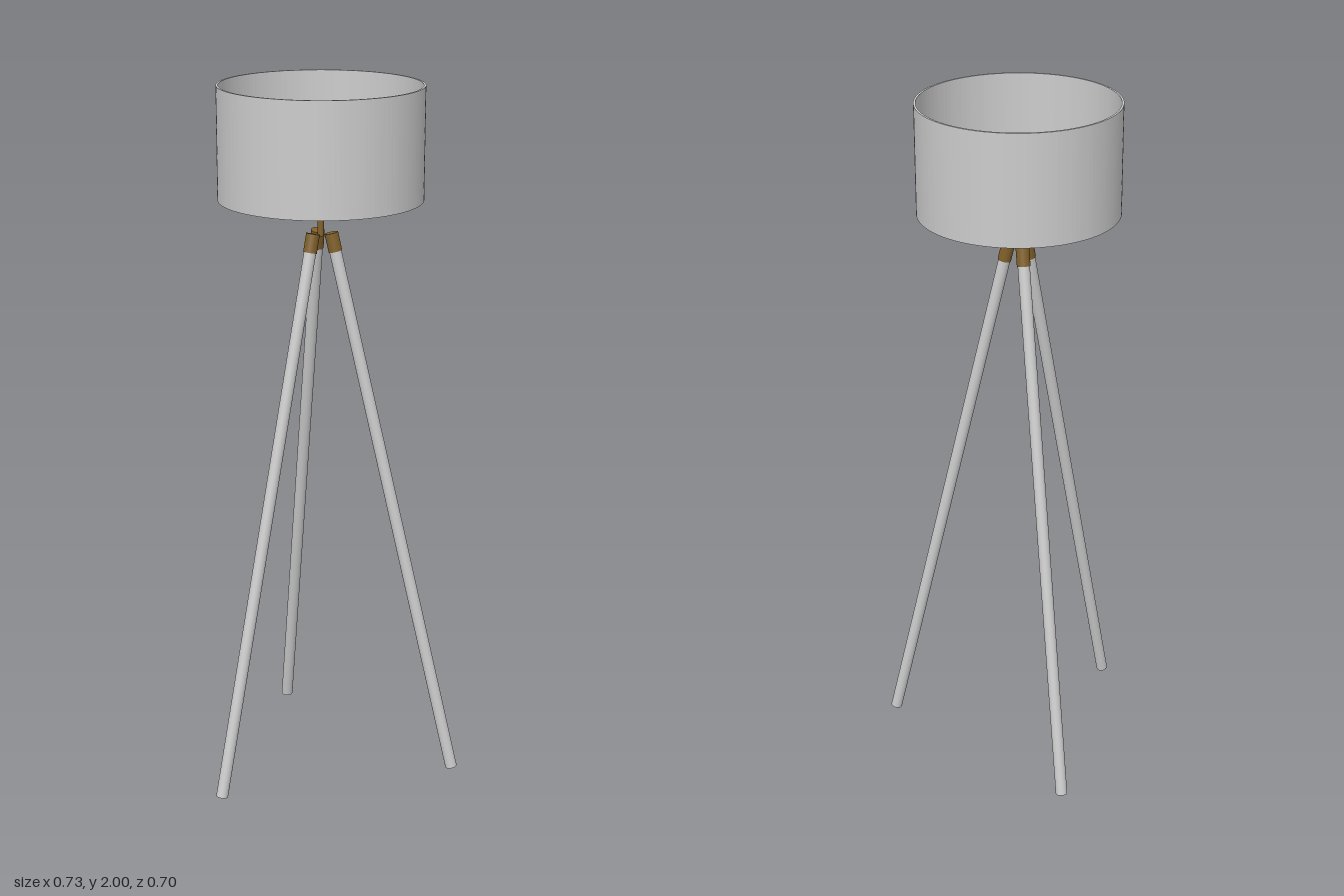
import * as THREE from 'three';

const AXIS_Z = 0.066; // the lamp's vertical axis sits ahead of the centre
const grey = new THREE.MeshStandardMaterial({ color: 0xcccccc });
const brass = new THREE.MeshStandardMaterial({ color: 0x80602a });

// Cylinder running between two points
function rod(name, a, b, radius, material, sides = 24) {
  const dir = b.clone().sub(a);
  const mesh = new THREE.Mesh(new THREE.CylinderGeometry(radius, radius, dir.length(), sides), material);
  mesh.position.copy(a).add(b).multiplyScalar(0.5);
  mesh.quaternion.setFromUnitVectors(new THREE.Vector3(0, 1, 0), dir.normalize());
  mesh.name = name;
  return mesh;
}

function lathe(name, points, material, sides = 32) {
  const mesh = new THREE.Mesh(
    new THREE.LatheGeometry(points.map(([x, y]) => new THREE.Vector2(x, y)), sides), material);
  mesh.name = name;
  return mesh;
}

export function createModel() {
  const lamp = new THREE.Group();
  lamp.name = 'tripodFloorLamp';
  lamp.position.z = AXIS_Z;

  // Drum shade: thin wall, open at both ends
  const wall = new THREE.Shape().absarc(0, 0, 0.283, 0, Math.PI * 2);
  wall.holes.push(new THREE.Path().absarc(0, 0, 0.277, 0, Math.PI * 2, true));
  const shade = new THREE.Mesh(
    new THREE.ExtrudeGeometry(wall, { depth: 0.312, bevelEnabled: false, curveSegments: 64 }), grey);
  shade.rotation.x = -Math.PI / 2;
  shade.position.y = 1.688;
  shade.name = 'shade';
  lamp.add(shade);

  // Three splayed legs with brass caps, and the shade's spokes above them
  const foot = new THREE.Vector3(0, 0.004, -0.401);
  const top = new THREE.Vector3(0, 1.595, -0.03);
  const joint = foot.clone().lerp(top, 0.968);
  for (let i = 0; i < 3; i++) {
    const arm = new THREE.Group();
    arm.name = 'legAssembly' + (i + 1);
    arm.rotation.y = (i * Math.PI * 2) / 3;
    arm.add(
      rod('leg', foot, joint, 0.017, grey),
      rod('legCap', joint, top, 0.019, brass),
      rod('shadeSpoke', new THREE.Vector3(0, 1.7, -0.028), new THREE.Vector3(0, 1.7, -0.279), 0.002, grey, 8));
    lamp.add(arm);
  }

  // Stem and socket
  lamp.add(rod('stem', new THREE.Vector3(0, 1.585, 0), new THREE.Vector3(0, 1.66, 0), 0.009, brass));
  lamp.add(rod('socket', new THREE.Vector3(0, 1.652, 0), new THREE.Vector3(0, 1.715, 0), 0.025, brass, 32));

  // Ring that carries the spokes
  lamp.add(lathe('spokeRing',
    [[0.024, 1.696], [0.033, 1.696], [0.033, 1.704], [0.024, 1.704]], grey));

  // Bulb: narrow neck widening into a round globe
  const bulb = [[0.016, 1.712], [0.016, 1.745], [0.019, 1.765]];
  for (let i = 0; i <= 10; i++) {
    const t = -0.5 + (i / 10) * (Math.PI / 2 + 0.5);
    bulb.push([Math.max(0, 0.028 * Math.cos(t)), 1.788 + 0.028 * Math.sin(t)]);
  }
  lamp.add(lathe('bulb', bulb, grey));

  const model = new THREE.Group();
  model.add(lamp);
  return model;
}
